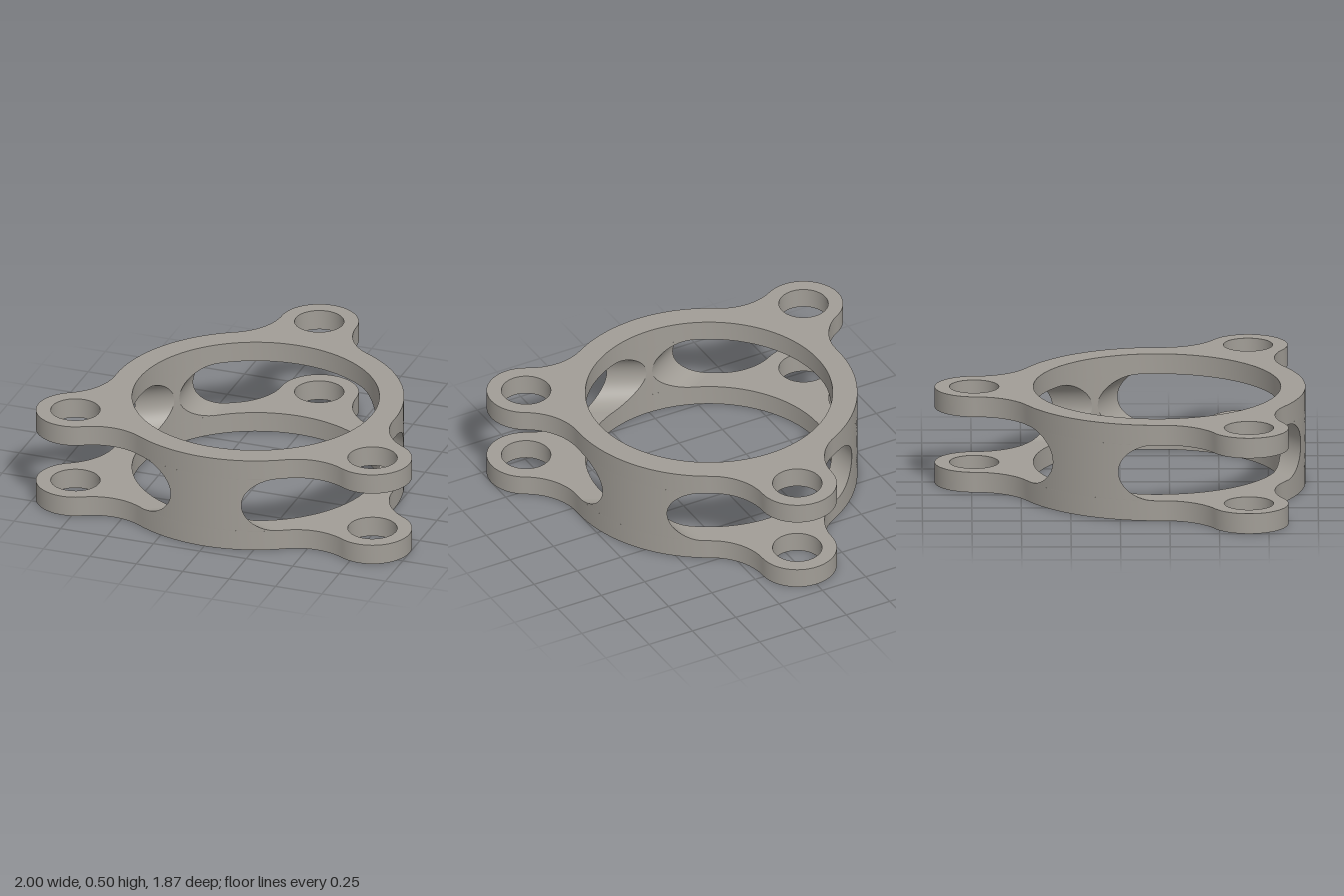
import * as THREE from 'three';
import { toCreasedNormals } from 'three/addons/utils/BufferGeometryUtils.js';

const OUTER = 0.75, BORE = 0.625;               // ring radii
const LUG_DIST = 0.924, LUG_R = 0.2, LUG_HOLE = 0.125, FILLET = 0.3;
const HEIGHT = 0.5, SLOT_R = 0.145, SLOT_HALF = 0.533;
const PLATE = HEIGHT / 2 - SLOT_R;              // plate thickness
const CENTER_Z = (LUG_DIST + LUG_R - OUTER) / 2;

// Points along an arc, leaving out the end point
function arc(cx, cy, r, from, to, n) {
  return Array.from({ length: n }, (_, i) => {
    const a = from + (to - from) * i / n;
    return new THREE.Vector2(cx + r * Math.cos(a), cy + r * Math.sin(a));
  });
}

// Ring outline with three filleted lugs, a bore and three bolt holes
function plateShape() {
  const rf = OUTER + FILLET, lf = LUG_R + FILLET;
  const a = Math.acos((rf * rf + LUG_DIST ** 2 - lf * lf) / (2 * rf * LUG_DIST));
  // direction from lug centre to fillet centre, measured from the lug axis
  const b = Math.atan2(rf * Math.sin(a), rf * Math.cos(a) - LUG_DIST);
  const third = Math.PI * 2 / 3;
  const points = [], holes = [arc(0, 0, BORE, 0, Math.PI * 2, 120)];
  for (let i = 0; i < 3; i++) {
    const p = Math.PI / 2 + i * third;
    const lx = LUG_DIST * Math.cos(p), ly = LUG_DIST * Math.sin(p);
    points.push(
      ...arc(rf * Math.cos(p - a), rf * Math.sin(p - a), FILLET, p - a + Math.PI, p - b + Math.PI, 16),
      ...arc(lx, ly, LUG_R, p - b, p + b, 36),
      ...arc(rf * Math.cos(p + a), rf * Math.sin(p + a), FILLET, p + b - Math.PI, p + a - Math.PI, 16),
      ...arc(0, 0, OUTER, p + a, p + third - a, 24)
    );
    holes.push(arc(lx, ly, LUG_HOLE, 0, Math.PI * 2, 48));
  }
  const shape = new THREE.Shape(points);
  shape.holes = holes.map((h) => new THREE.Path(h));
  return shape;
}

// Ring segment left between two round-ended slots cut along the lug axes
function pillarGeometry() {
  const geo = new THREE.BoxGeometry(2, 2, 2, 20, 24, 1);
  const pos = geo.attributes.position;
  for (let i = 0; i < pos.count; i++) {
    const t = pos.getY(i) * Math.PI / 2;
    const r = pos.getZ(i) > 0 ? OUTER : BORE;
    const slot = SLOT_HALF - SLOT_R + SLOT_R * Math.cos(t);
    const a = pos.getX(i) * (Math.PI / 3 - Math.asin(slot / r));
    pos.setXYZ(i, r * Math.sin(a), HEIGHT / 2 + SLOT_R * Math.sin(t), r * Math.cos(a));
  }
  geo.computeVertexNormals();
  return geo;
}

export function createModel() {
  const model = new THREE.Group();
  model.name = 'slottedRingBracket';
  const material = new THREE.MeshStandardMaterial({ color: 0xa19d96 }); // warm grey
  const add = (name, geometry) => {
    const mesh = new THREE.Mesh(geometry, material);
    mesh.name = name;
    mesh.position.z = CENTER_Z;
    model.add(mesh);
    return mesh;
  };

  // Two identical lugged plates
  const plate = toCreasedNormals(
    new THREE.ExtrudeGeometry(plateShape(), { depth: PLATE, bevelEnabled: false }).rotateX(-Math.PI / 2), 0.6);
  add('lowerPlate', plate);
  add('upperPlate', plate).position.y = HEIGHT - PLATE;

  // Three pillars between the lugs
  const pillar = pillarGeometry();
  ['frontPillar', 'leftPillar', 'rightPillar'].forEach((name, i) => {
    add(name, pillar).rotation.y = i * Math.PI * 2 / 3;
  });
  return model;
}
